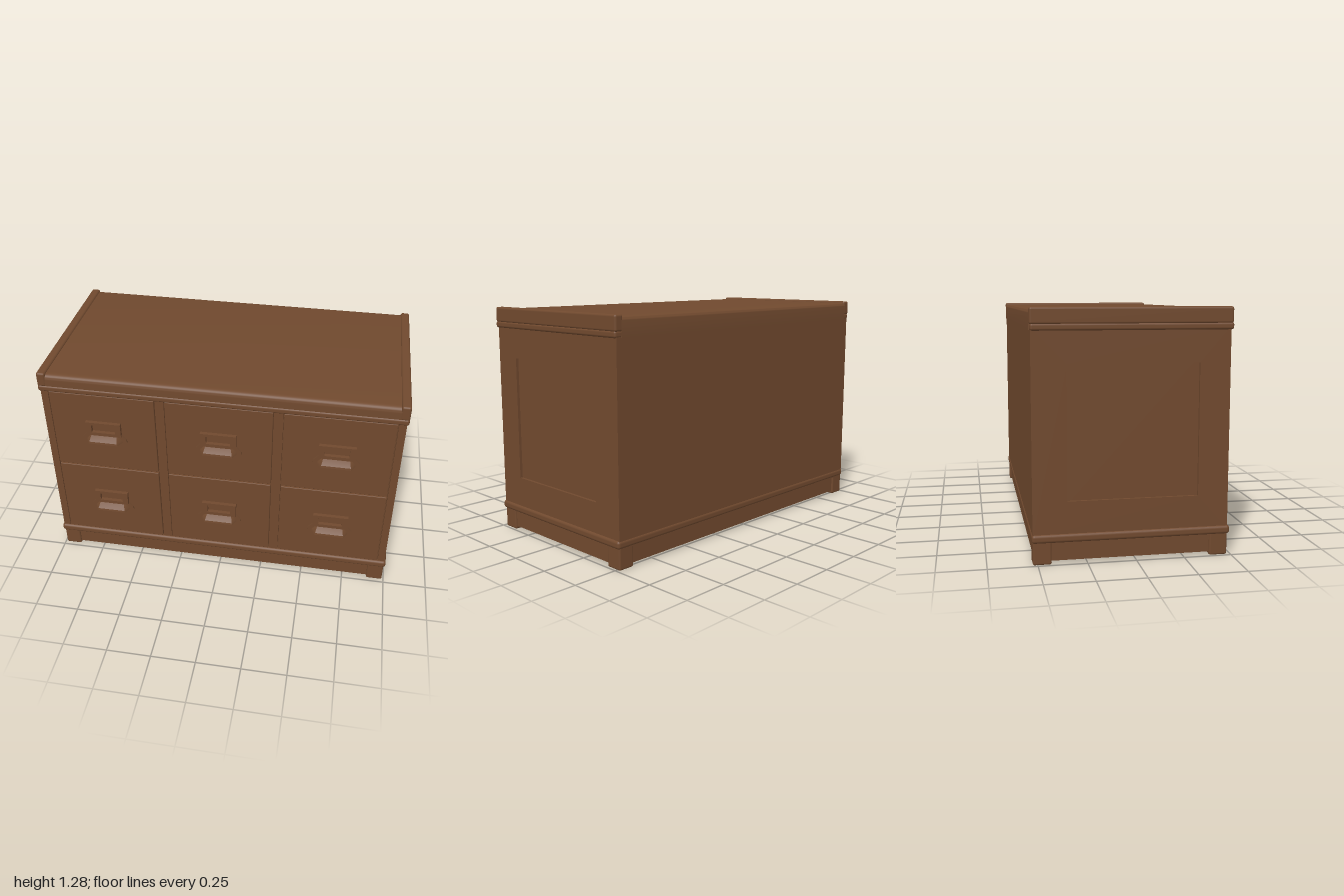
import * as THREE from 'three';
import { RoundedBoxGeometry } from 'three/addons/geometries/RoundedBoxGeometry.js';
import { toCreasedNormals } from 'three/addons/utils/BufferGeometryUtils.js';

const wood = new THREE.MeshStandardMaterial({ color: 0x70492e });
wood.name = 'brown wood';
const shellWood = wood.clone();
shellWood.side = THREE.DoubleSide;

function add(parent, name, geometry, material = wood) {
  const mesh = new THREE.Mesh(geometry, material);
  mesh.name = name;
  parent.add(mesh);
  return mesh;
}

// Box given by its minimum and maximum corners, with optional rounded edges
function block(parent, name, [x0, y0, z0], [x1, y1, z1], r = 0) {
  const w = x1 - x0, h = y1 - y0, d = z1 - z0;
  const g = r ? new RoundedBoxGeometry(w, h, d, 3, r) : new THREE.BoxGeometry(w, h, d);
  g.translate((x0 + x1) / 2, (y0 + y1) / 2, (z0 + z1) / 2);
  return add(parent, name, g);
}

const outline = (points) => new THREE.Shape(points.map(([x, y]) => new THREE.Vector2(x, y)));
const rect = (x0, y0, x1, y1) => outline([[x0, y0], [x1, y0], [x1, y1], [x0, y1]]);
const extrude = (shape, depth) => new THREE.ExtrudeGeometry(shape, { depth, bevelEnabled: false, curveSegments: 8 });

// Hollow hood of the pull, lofted from rows of [base half width, lip half width, y, z]
function hoodGeometry() {
  const rows = [[0.075, 0.07, 0.045, 0.004], [0.085, 0.073, 0.036, 0.02], [0.105, 0.08, 0.012, 0.047], [0.11, 0.083, 0, 0.049]];
  const pos = [], index = [];
  rows.forEach(([a, b, y, z], i) => {
    pos.push(-a, y, 0, -b, y, z, b, y, z, a, y, 0);
    for (let j = 0; i > 0 && j < 3; j++) {
      const p = (i - 1) * 4 + j, q = i * 4 + j;
      index.push(p, q, p + 1, p + 1, q, q + 1);
    }
  });
  index.push(0, 1, 2, 0, 2, 3);
  const g = new THREE.BufferGeometry();
  g.setAttribute('position', new THREE.Float32BufferAttribute(pos, 3));
  g.setIndex(index);
  return toCreasedNormals(g, 0.5);
}

// Label holder with flared flange and pull; its origin is at the bottom centre
function makeHandle() {
  const handle = new THREE.Group();
  handle.name = 'drawerHandle';
  const flange = outline([[-0.128, 0], [0.128, 0], [0.126, 0.018], [0.1, 0.048], [-0.1, 0.048], [-0.126, 0.018]]);
  add(handle, 'flange', extrude(flange, 0.009));
  const frame = rect(-0.1, 0.04, 0.1, 0.125);
  frame.holes.push(rect(-0.067, 0.06, 0.067, 0.108));
  add(handle, 'labelFrame', extrude(frame, 0.021));
  add(handle, 'pullHood', hoodGeometry(), shellWood);
  return handle;
}

export function createModel() {
  const cabinet = new THREE.Group();
  cabinet.name = 'drawerCabinet';

  // Carcass
  block(cabinet, 'carcass', [-0.975, 0.11, -0.525], [0.975, 1.18, 0.455]);

  // Side frames around recessed panels
  for (const s of [-1, 1]) {
    const frame = rect(-0.525, 0.14, 0.477, 1.18);
    frame.holes.push(rect(-0.35, 0.32, 0.32, 1.0));
    const g = extrude(frame, 0.015);
    g.rotateY(-Math.PI / 2);
    add(cabinet, 'sideFrame', g).position.x = s > 0 ? 0.99 : -0.975;
  }

  // Front stiles
  for (const [a, b] of [[-0.99, -0.95], [-0.35, -0.3], [0.3, 0.35], [0.95, 0.99]]) {
    block(cabinet, 'stile', [a, 0.14, 0.44], [b, 1.18, 0.478]);
  }

  // Six drawers with handles
  for (const y of [0.16, 0.664]) {
    for (const [a, b] of [[-0.945, -0.354], [-0.296, 0.296], [0.354, 0.945]]) {
      block(cabinet, 'drawerFront', [a, y, 0.44], [b, y + 0.496, 0.483], 0.004);
      const handle = makeHandle();
      handle.position.set((a + b) / 2, y + 0.2, 0.483);
      cabinet.add(handle);
    }
  }

  // Base and top mouldings
  block(cabinet, 'baseMoulding', [-1, 0.112, -0.53], [1, 0.157, 0.491], 0.016);
  block(cabinet, 'topMoulding', [-1, 1.162, -0.527], [1, 1.198, 0.491], 0.012);

  // Top board with rolled front and back edges
  const board = new THREE.Shape();
  board.moveTo(-0.53, 1.165);
  board.lineTo(0.45, 1.165);
  board.lineTo(0.45, 1.195);
  board.lineTo(0.486, 1.195);
  board.lineTo(0.486, 1.235);
  board.quadraticCurveTo(0.486, 1.266, 0.45, 1.266);
  board.lineTo(-0.5, 1.266);
  board.quadraticCurveTo(-0.53, 1.266, -0.53, 1.24);
  const boardGeometry = extrude(board, 1.92);
  boardGeometry.rotateY(-Math.PI / 2);
  add(cabinet, 'topBoard', toCreasedNormals(boardGeometry, 0.6)).position.x = 0.96;

  // End rails, aprons and feet
  for (const s of [-1, 1]) {
    const x = s * 0.975;
    block(cabinet, 'endRail', [x - 0.025, 1.192, -0.53], [x + 0.025, 1.276, 0.489], 0.012);
    block(cabinet, 'sideApron', [s * 0.965 - 0.015, 0.018, -0.5], [s * 0.965 + 0.015, 0.12, 0.45]);
    for (const [z0, z1] of [[-0.525, -0.43], [0.385, 0.48]]) {
      block(cabinet, 'foot', [s * 0.943 - 0.047, 0, z0], [s * 0.943 + 0.047, 0.13, z1], 0.01);
    }
  }
  block(cabinet, 'frontApron', [-0.95, 0.018, 0.44], [0.95, 0.12, 0.47]);
  block(cabinet, 'backApron', [-0.95, 0.018, -0.515], [0.95, 0.12, -0.485]);

  return cabinet;
}
